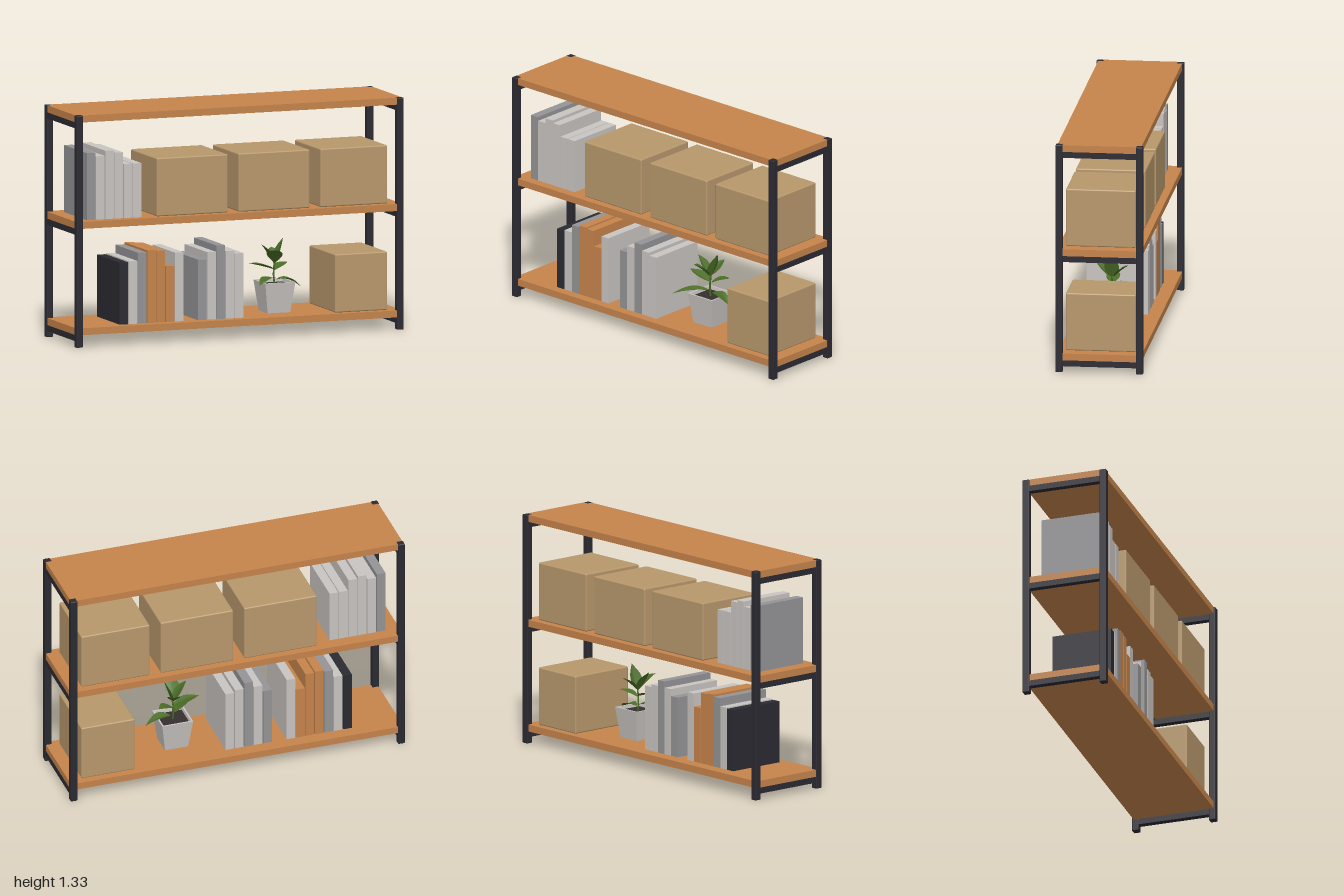
import * as THREE from 'three';
import { RoundedBoxGeometry } from 'three/addons/geometries/RoundedBoxGeometry.js';
import { ParametricGeometry } from 'three/addons/geometries/ParametricGeometry.js';

const V = (x, y, z) => new THREE.Vector3(x, y, z);

function material(name, color, side = THREE.FrontSide) {
  const m = new THREE.MeshStandardMaterial({ color, side });
  m.name = name;
  return m;
}

function add(parent, name, geometry, mat, x = 0, y = 0, z = 0) {
  const mesh = new THREE.Mesh(geometry, mat);
  mesh.name = name;
  mesh.position.set(x, y, z);
  parent.add(mesh);
  return mesh;
}

// Board with its four corners notched around the posts, top at y = 0
function shelfGeometry() {
  const X = 0.995, x = 0.96, Z = 0.24, z = 0.21;
  const outline = [[X, -z], [X, z], [x, z], [x, Z], [-x, Z], [-x, z],
    [-X, z], [-X, -z], [-x, -z], [-x, -Z], [x, -Z], [x, -z]];
  const shape = new THREE.Shape(outline.map(([a, b]) => new THREE.Vector2(a, b)));
  const geo = new THREE.ExtrudeGeometry(shape, { depth: 0.04, bevelEnabled: false });
  return geo.rotateX(Math.PI / 2);
}

// Pointed leaf along a curve, folded slightly along its midrib
function leafGeometry(base, tip, width, lift) {
  const mid = base.clone().lerp(tip, 0.5);
  mid.y += lift;
  const curve = new THREE.QuadraticBezierCurve3(base, mid, tip);
  const dir = tip.clone().sub(base);
  const side = V(0, 1, 0).cross(dir).normalize();
  const normal = dir.clone().cross(side).normalize();
  return new ParametricGeometry((u, v, out) => {
    const s = v * 2 - 1;
    const half = (width / 2) * Math.sin(Math.PI * Math.pow(u, 0.85));
    out.copy(curve.getPoint(u))
      .addScaledVector(side, s * half)
      .addScaledVector(normal, Math.abs(s) * half * 0.3);
  }, 8, 4);
}

export function createModel() {
  const model = new THREE.Group();
  model.name = 'shelvingUnit';

  const wood = material('wood', 0xc6844b);
  const metal = material('darkMetal', 0x2a2a32);
  const card = material('cardboard', 0xb8986c);
  const lightGrey = material('lightGrey', 0xc8c4c1);
  const midGrey = material('midGrey', 0x949496);
  const green = material('leafGreen', 0x4b6e27, THREE.DoubleSide);
  const soil = material('soil', 0x35302e);

  // Posts
  for (const x of [-0.98, 0.98]) {
    for (const z of [-0.23, 0.23]) {
      add(model, 'post', new RoundedBoxGeometry(0.04, 1.33, 0.04, 2, 0.005), metal, x, 0.665, z);
    }
  }

  // Shelves, each resting on a cross bar at both ends
  for (const top of [0.11, 0.72, 1.33]) {
    add(model, 'shelf', shelfGeometry(), wood, 0, top, 0);
    for (const x of [-0.98, 0.98]) {
      add(model, 'crossBar', new THREE.BoxGeometry(0.036, 0.034, 0.42), metal, x, top - 0.057, 0);
    }
  }

  // Storage boxes: left edge, right edge, shelf height
  for (const [x0, x1, y] of [[-0.49, -0.055, 0.72], [0.01, 0.445, 0.72], [0.51, 0.92, 0.72], [0.6, 0.92, 0.11]]) {
    add(model, 'storageBox', new RoundedBoxGeometry(x1 - x0, 0.335, 0.4, 3, 0.008), card,
      (x0 + x1) / 2, y + 0.1675, 0);
  }

  // Rows of books: start, shelf height, then top height and colour of each
  const L = lightGrey, M = midGrey;
  const rows = [
    [-0.912, 0.72, [[1.104, M], [1.083, L], [1.112, L], [1.098, L], [1.03, L], [1.03, L]]],
    [-0.711, 0.11, [[0.465, metal], [0.47, L], [0.516, M], [0.527, wood], [0.521, wood], [0.43, wood], [0.505, L]]],
    [-0.232, 0.11, [[0.457, M], [0.497, L], [0.532, M], [0.497, L], [0.481, L]]],
  ];
  for (const [start, y, books] of rows) {
    const row = new THREE.Group();
    row.name = 'bookRow';
    books.forEach(([top, mat], i) => {
      add(row, 'book', new THREE.BoxGeometry(0.052, top - y, 0.35), mat,
        start + 0.026 + i * 0.0565, (top + y) / 2, 0.01);
    });
    model.add(row);
  }

  // Square tapered pot with a hollow rim
  const plant = new THREE.Group();
  plant.name = 'pottedPlant';
  plant.position.set(0.304, 0.11, 0.01);
  const profile = [[0, 0], [0.069, 0], [0.092, 0.175], [0.082, 0.175], [0.079, 0.15]]
    .map(([r, y]) => new THREE.Vector2(r * Math.SQRT2, y));
  const pot = new THREE.LatheGeometry(profile, 4).rotateY(Math.PI / 4).toNonIndexed();
  pot.computeVertexNormals();
  add(plant, 'pot', pot, lightGrey);
  add(plant, 'soil', new THREE.BoxGeometry(0.158, 0.008, 0.158), soil, 0, 0.152, 0);

  // Stem
  const stem = new THREE.CatmullRomCurve3([V(0, 0.15, 0), V(-0.005, 0.22, 0), V(0.005, 0.3, 0)]);
  add(plant, 'stem', new THREE.TubeGeometry(stem, 8, 0.005, 6), green);

  // Leaves: base, tip, width, upward bow
  const leaves = [
    [V(0.005, 0.28, 0), V(0.053, 0.42, 0), 0.085, -0.01],
    [V(0, 0.28, 0.01), V(-0.04, 0.365, 0.1), 0.09, 0.015],
    [V(0, 0.28, -0.01), V(0.02, 0.356, -0.098), 0.075, 0.01],
    [V(0, 0.27, 0), V(-0.085, 0.39, 0.01), 0.07, 0.01],
    [V(0, 0.24, 0), V(-0.157, 0.283, 0), 0.08, 0.005],
    [V(0, 0.235, 0), V(0.1, 0.272, -0.055), 0.075, 0.01],
    [V(0, 0.19, 0), V(-0.154, 0.175, 0.155), 0.07, 0.03],
    [V(0.01, 0.18, 0), V(0.159, 0.133, 0.01), 0.07, 0.045],
  ];
  for (const [base, tip, width, lift] of leaves) {
    add(plant, 'leaf', leafGeometry(base, tip, width, lift), green);
  }
  model.add(plant);

  return model;
}
